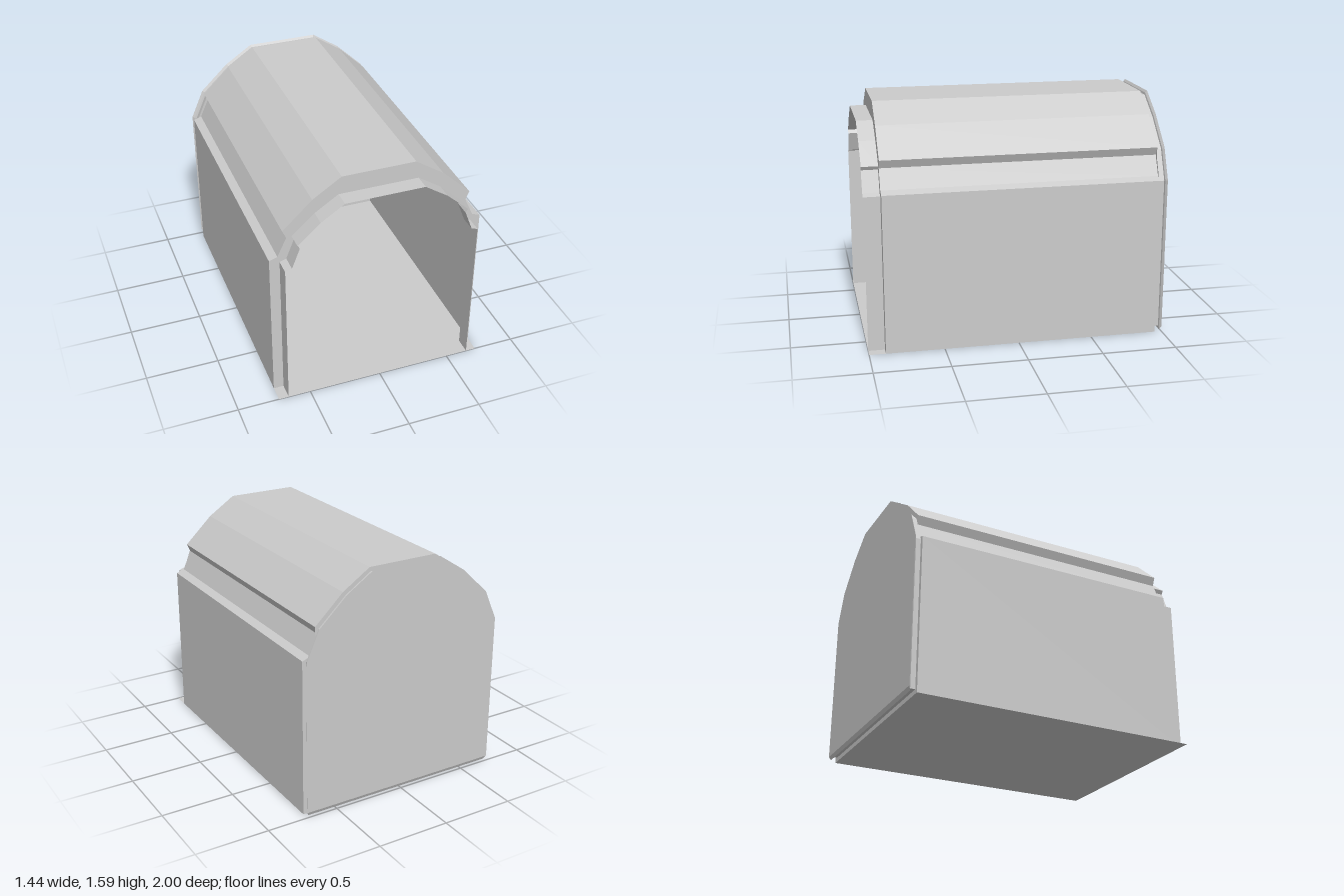
import * as THREE from 'three';

const material = new THREE.MeshStandardMaterial({
  color: 0xcccccc, flatShading: true, side: THREE.DoubleSide,
});

// Right half of a section, from the foot to the crown, mirrored into a full arch
const arch = (half) => [...half, ...half.map(([x, y]) => [-x, y]).reverse()];

// Skin between successive rings { z, points }, ordered from front to back
function loft(name, rings, closed = false) {
  const pos = [];
  for (let r = 0; r < rings.length - 1; r++) {
    const a = rings[r], b = rings[r + 1], n = a.points.length;
    for (let i = 0; i < (closed ? n : n - 1); i++) {
      const j = (i + 1) % n;
      const a0 = [...a.points[i], a.z], a1 = [...a.points[j], a.z];
      const b0 = [...b.points[i], b.z], b1 = [...b.points[j], b.z];
      pos.push(...a0, ...b0, ...a1, ...a1, ...b0, ...b1);
    }
  }
  const geometry = new THREE.BufferGeometry();
  geometry.setAttribute('position', new THREE.Float32BufferAttribute(pos, 3));
  geometry.computeVertexNormals();
  const mesh = new THREE.Mesh(geometry, material);
  mesh.name = name;
  return mesh;
}

export function createModel() {
  const group = new THREE.Group();
  group.name = 'archedShelter';

  // Sections: grooved body, smaller grooved collar, plain back
  const body = arch([[0.72, 0], [0.72, 1.07], [0.665, 1.09], [0.605, 1.22],
    [0.63, 1.275], [0.435, 1.46], [0.245, 1.585]]);
  const collar = arch([[0.652, 0], [0.652, 1.048], [0.608, 1.063], [0.555, 1.2],
    [0.57, 1.225], [0.42, 1.36], [0.265, 1.462]]);
  const plain = (inset, foot) => {
    const lower = [0.72 - inset, 1.07 - inset * 0.3];
    const upper = [0.63 - inset * 0.85, 1.275 - inset * 0.6];
    const between = (t) => [0, 1].map((k) => lower[k] + (upper[k] - lower[k]) * t);
    return arch([[0.72 - inset, foot], lower, between(0.12), between(0.75), upper,
      [0.435 - inset * 0.65, 1.46 - inset * 0.85], [0.245 - inset * 0.3, 1.585 - inset]]);
  };

  // Walls and roof, front step and projecting collar
  group.add(loft('wallsAndRoof', [{ z: 0.89, points: body }, { z: -0.95, points: body }]));
  group.add(loft('frontStep', [{ z: 0.89, points: collar }, { z: 0.89, points: body }]));
  group.add(loft('frontCollar', [{ z: 1, points: collar }, { z: 0.89, points: collar }]));

  // Recessed neck and flared rim around the back wall
  const back = plain(0, 0.035);
  group.add(loft('backNeck', [
    { z: -0.95, points: body },
    { z: -0.95, points: plain(0.028, 0.03) },
    { z: -0.985, points: plain(0.028, 0.03) },
    { z: -0.988, points: plain(0.015, 0.01) },
    { z: -1, points: back },
  ], true));

  // Back wall, facing backwards
  const shape = new THREE.Shape(back.map(([x, y]) => new THREE.Vector2(x, y)));
  const backGeometry = new THREE.ShapeGeometry(shape);
  backGeometry.rotateY(Math.PI);
  const backWall = new THREE.Mesh(backGeometry, material);
  backWall.name = 'backWall';
  backWall.position.z = -1;
  group.add(backWall);

  // Thin floor sheet reaching out under the collar
  const floorGeometry = new THREE.PlaneGeometry(1.44, 1.95);
  floorGeometry.rotateX(-Math.PI / 2);
  const floor = new THREE.Mesh(floorGeometry, material);
  floor.name = 'floor';
  floor.position.z = 0.025;
  group.add(floor);

  return group;
}
